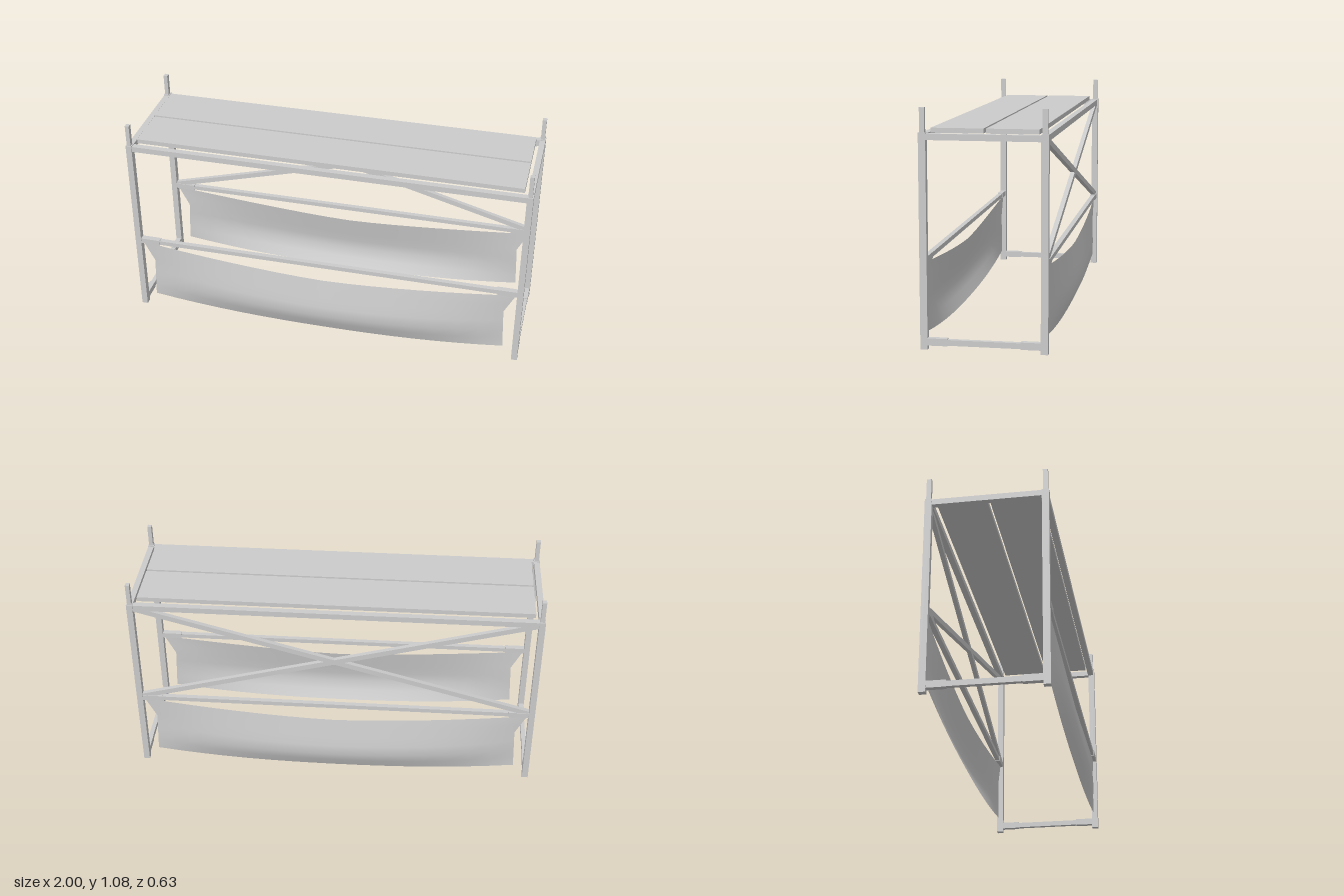
import * as THREE from 'three';

const steel = new THREE.MeshStandardMaterial({ color: 0xcccccc });
const cloth = new THREE.MeshStandardMaterial({ color: 0xcccccc, side: THREE.DoubleSide });

const PX = 0.985, PZ = 0.271; // post centres

function box(parent, name, size, pos) {
  const mesh = new THREE.Mesh(new THREE.BoxGeometry(...size), steel);
  mesh.name = name;
  mesh.position.set(...pos);
  parent.add(mesh);
  return mesh;
}

// Sagging cloth sheet, bulging outward towards +z
function sheetGeometry() {
  const rows = 6;
  const bulge = [0.01, 0.0195, 0.029, 0.0385, 0.043, 0.024, 0];
  const geo = new THREE.PlaneGeometry(2, 1, 16, rows);
  const p = geo.attributes.position;
  for (let i = 0; i < p.count; i++) {
    const u = p.getX(i), a = Math.abs(u), v = 0.5 - p.getY(i);
    const top = 0.315 + 0.075 * a ** 1.5;
    const bottom = 0.011 + 0.054 * a ** 2.3;
    const half = v < 1 / 3 ? 0.965 - 0.165 * v : 0.91 + 0.015 * (v - 1 / 3);
    const z = 0.27 + bulge[Math.round(v * rows)] * (1 - a ** 3);
    p.setXYZ(i, u * half, top + (bottom - top) * v, z);
  }
  geo.computeVertexNormals();
  return geo;
}

export function createModel() {
  const model = new THREE.Group();
  model.name = 'scaffold';

  // Posts with joining pins
  for (const sx of [-1, 1]) {
    for (const sz of [-1, 1]) {
      box(model, 'post', [0.03, 0.97, 0.033], [sx * PX, 0.485, sz * PZ]);
      box(model, 'topPin', [0.02, 0.11, 0.023], [sx * PX, 1.025, sz * PZ]);
      box(model, 'bottomSleeve', [0.027, 0.033, 0.09], [sx * PX, 0.035, sz * 0.21]);
    }
    // End rails
    box(model, 'topEndRail', [0.028, 0.028, 0.51], [sx * PX, 0.952, 0]);
    box(model, 'bottomEndRail', [0.022, 0.026, 0.51], [sx * PX, 0.034, 0]);
  }

  // Long rails on both sides
  for (const sz of [-1, 1]) {
    box(model, 'topRail', [1.94, 0.028, 0.03], [0, 0.952, sz * 0.268]);
    box(model, 'middleRail', [1.94, 0.022, 0.024], [0, 0.405, sz * PZ]);
    for (const sx of [-1, 1]) {
      box(model, 'railSleeve', [0.1, 0.028, 0.029], [sx * 0.92, 0.405, sz * PZ]);
    }
    // Deck plank
    box(model, 'plank', [1.91, 0.022, 0.235], [0, 0.977, sz * 0.1235]);
  }

  // Diagonal cross braces at the back
  const run = 1.94, rise = 0.53;
  for (const s of [-1, 1]) {
    const brace = box(model, 'crossBrace', [Math.hypot(run, rise), 0.026, 0.022], [0, 0.68, -PZ]);
    brace.rotation.z = s * Math.atan2(rise, run);
  }

  // Cloth sheets hanging below the middle rails
  const geo = sheetGeometry();
  for (const angle of [0, Math.PI]) {
    const sheet = new THREE.Mesh(geo, cloth);
    sheet.name = angle ? 'backSheet' : 'frontSheet';
    sheet.rotation.y = angle;
    model.add(sheet);
  }
  return model;
}
